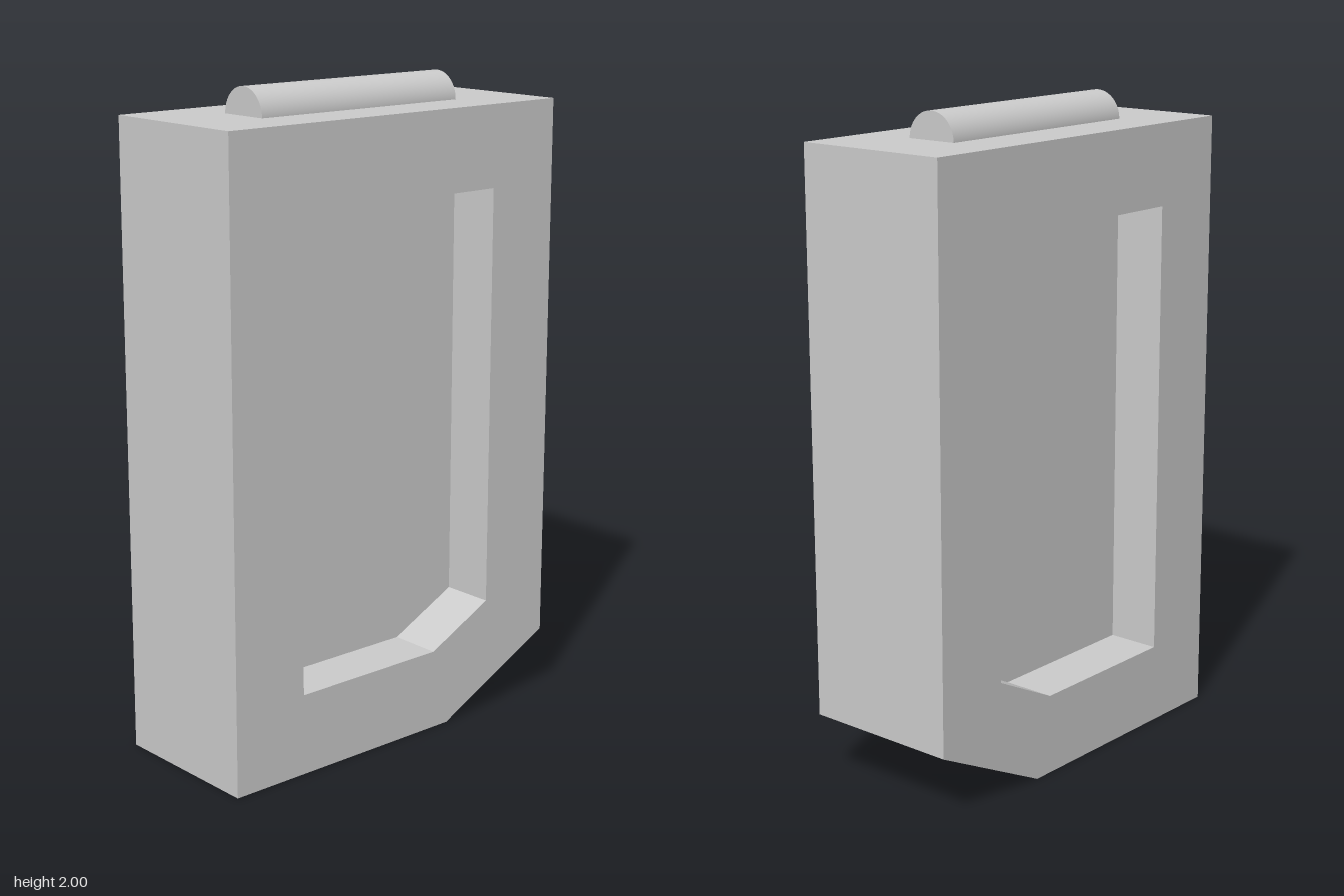
import * as THREE from 'three';

const WIDTH = 0.5, HEIGHT = 1.917, WEB = 0.166, RADIUS = 0.083;

// Side profiles as [-z, y], counter-clockwise, with one clipped lower back corner
const outer = [[-0.625, 0], [0.208, 0], [0.625, 0.208], [0.625, HEIGHT], [-0.625, HEIGHT]];
const inner = [[-0.375, 0.25], [0.149, 0.25], [0.375, 0.363], [0.375, 1.667], [-0.375, 1.667]];
const points = (list) => list.map(([u, v]) => new THREE.Vector2(u, v));

export function createModel() {
  const group = new THREE.Group();
  const flat = new THREE.MeshStandardMaterial({ color: 0xcccccc, flatShading: true });
  const smooth = new THREE.MeshStandardMaterial({ color: 0xcccccc });
  const add = (name, geometry, material) => {
    const mesh = new THREE.Mesh(geometry, material);
    mesh.name = name;
    group.add(mesh);
    return mesh;
  };

  // Thick frame, open through the middle
  const shape = new THREE.Shape(points(outer));
  shape.holes.push(new THREE.Path(points(inner)));
  const frame = new THREE.ExtrudeGeometry(shape, { depth: WIDTH, bevelEnabled: false });
  frame.translate(0, 0, -WIDTH / 2).rotateY(Math.PI / 2);
  add('frame', frame, flat);

  // Recessed panel on each side
  for (const side of [1, -1]) {
    const outline = inner.map(([u, v]) => [u * side, v]);
    const panel = new THREE.ShapeGeometry(new THREE.Shape(points(outline)));
    panel.rotateY(side * Math.PI / 2).translate(side * WEB / 2, 0, 0);
    add(side > 0 ? 'leftPanel' : 'rightPanel', panel, flat);
  }

  // Half-round rail along the top
  const rail = new THREE.CylinderGeometry(RADIUS, RADIUS, 0.75, 32, 1, false, Math.PI / 2, Math.PI);
  rail.rotateX(Math.PI / 2).translate(0, HEIGHT, 0);
  add('topRail', rail, smooth);

  return group;
}
